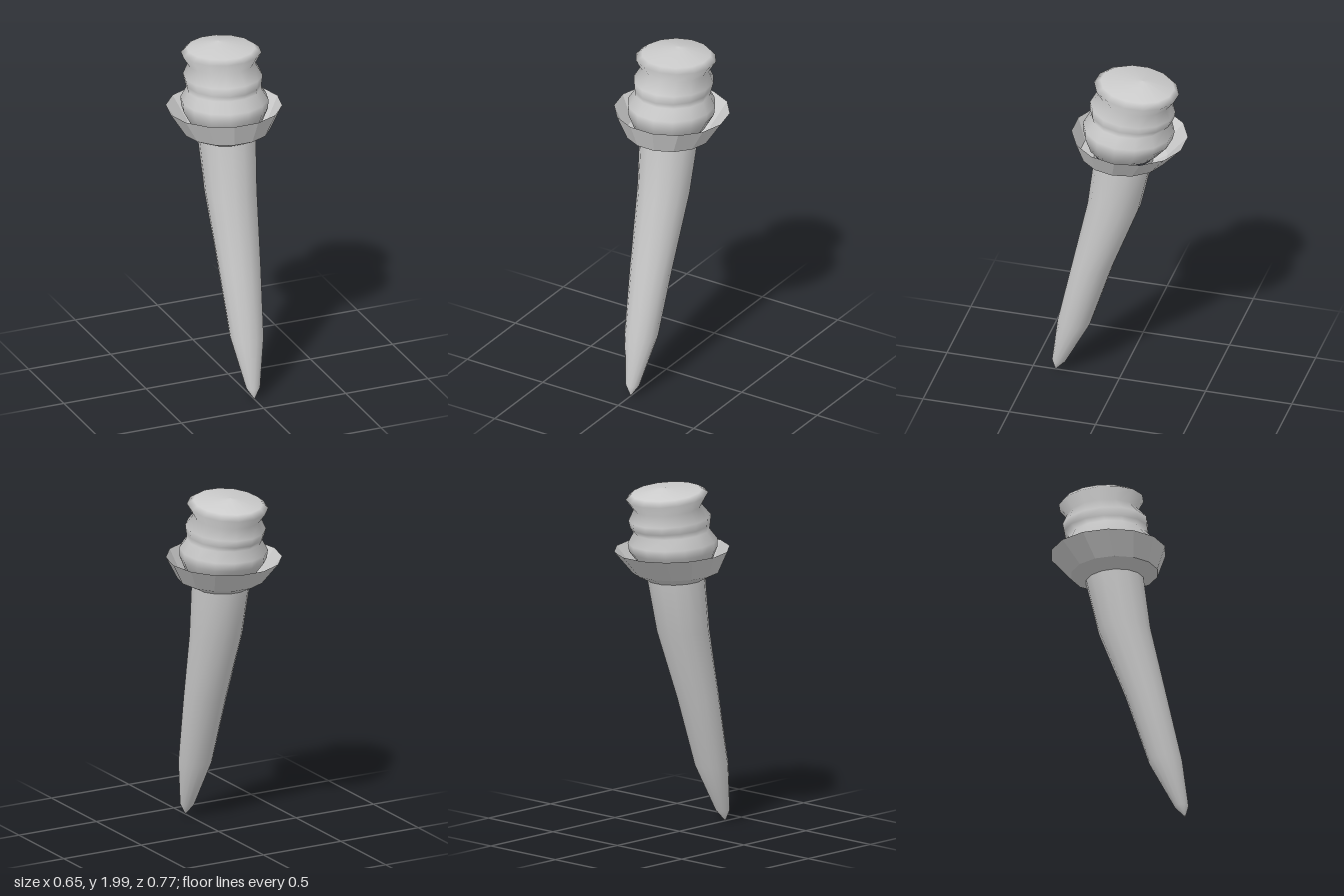
import * as THREE from 'three';

const SIDES = 14;

// Lofts a closed skin through tilted rings, bottom to top: [y, z, radiusX, radiusZ, tilt]
function loft(name, rings, { flat = false, open = false, turn = 0 } = {}) {
  const pos = [], index = [];
  for (const [y, z, rx, rz, tilt] of rings) {
    for (let j = 0; j < SIDES; j++) {
      const a = (j / SIDES) * Math.PI * 2 + turn;
      const dz = rz * Math.sin(a);
      pos.push(rx * Math.cos(a), y + tilt * dz, z + dz);
    }
  }
  for (let i = 0; i < rings.length - 1; i++) {
    for (let j = 0; j < SIDES; j++) {
      const k = (j + 1) % SIDES;
      const a = i * SIDES + j, b = i * SIDES + k;
      index.push(a, a + SIDES, b, b, a + SIDES, b + SIDES);
    }
  }
  const geo = new THREE.BufferGeometry();
  geo.setAttribute('position', new THREE.Float32BufferAttribute(pos, 3));
  geo.setIndex(index);
  geo.computeVertexNormals();
  const mesh = new THREE.Mesh(geo, new THREE.MeshStandardMaterial({
    color: 0xcccccc,
    flatShading: flat,
    side: open ? THREE.DoubleSide : THREE.FrontSide,
  }));
  mesh.name = name;
  return mesh;
}

export function createModel() {
  const group = new THREE.Group();
  group.name = 'torch';

  // Curved handle tapering to a point
  group.add(loft('handle', [
    [0.0, 0.37, 0, 0, 0],
    [0.065, 0.35, 0.04, 0.039, 0.05],
    [0.34, 0.26, 0.095, 0.095, 0],
    [0.74, 0.152, 0.122, 0.118, -0.06],
    [1.15, 0.03, 0.148, 0.149, 0.02],
    [1.457, -0.024, 0.164, 0.164, 0.05],
    [1.5, -0.026, 0.164, 0.164, 0.05],
  ]));

  // Faceted open collar
  group.add(loft('collar', [
    [1.456, -0.024, 0.164, 0.164, 0.05],
    [1.498, -0.026, 0.246, 0.246, 0.033],
    [1.629, -0.06, 0.326, 0.326, 0.034],
  ], { flat: true, open: true }));

  // Bulging wrapped head with a shallow domed top
  group.add(loft('head', [
    [1.53, -0.03, 0, 0, 0.04],
    [1.54, -0.03, 0.2, 0.2, 0.04],
    [1.625, -0.05, 0.242, 0.252, 0.045],
    [1.675, -0.055, 0.245, 0.258, 0.045],
    [1.735, -0.065, 0.21, 0.217, 0.05],
    [1.765, -0.073, 0.211, 0.238, 0.05],
    [1.812, -0.078, 0.221, 0.241, 0.07],
    [1.875, -0.095, 0.187, 0.197, 0.09],
    [1.938, -0.1, 0.224, 0.24, 0.1],
    [1.964, -0.105, 0.19, 0.208, 0.08],
    [1.988, -0.135, 0.03, 0.03, 0],
    [1.993, -0.135, 0, 0, 0],
  ], { turn: 0.06 }));

  return group;
}
